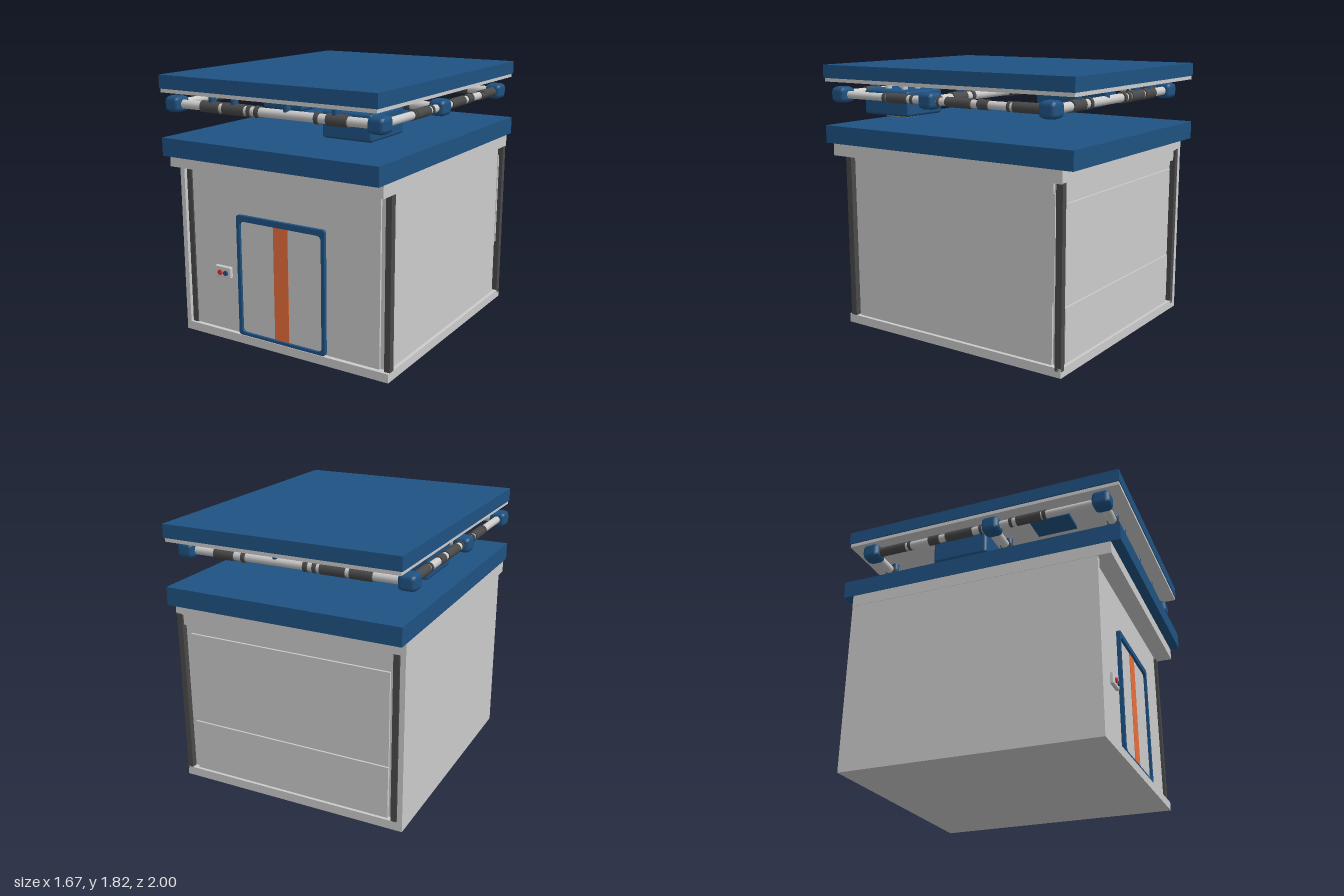
import * as THREE from 'three';
import { RoundedBoxGeometry } from 'three/addons/geometries/RoundedBoxGeometry.js';

const mat = (color) => new THREE.MeshStandardMaterial({ color });

export function createModel() {
  const model = new THREE.Group();
  const grey = mat(0xcccccc), blue = mat(0x1f5282), dark = mat(0x4a4a4a);
  const orange = mat(0xea6f3b), red = mat(0xe03030), olive = mat(0x8c8a62);

  const add = (name, geometry, material, x = 0, y = 0, z = 0, parent = model) => {
    const mesh = new THREE.Mesh(geometry, material);
    mesh.name = name;
    mesh.position.set(x, y, z);
    parent.add(mesh);
    return mesh;
  };
  // Box given by its minimum and maximum on each axis
  const box = (name, material, x0, x1, y0, y1, z0, z1, parent) =>
    add(name, new THREE.BoxGeometry(x1 - x0, y1 - y0, z1 - z0), material,
      (x0 + x1) / 2, (y0 + y1) / 2, (z0 + z1) / 2, parent);
  // Box with chamfered edges, given by centre and size
  const chamferBox = (name, material, x, y, z, w, h, d, r, parent) =>
    add(name, new RoundedBoxGeometry(w, h, d, 1, r), material, x, y, z, parent);
  const rod = (name, material, r, length, axis, x, y, z, parent) => {
    const mesh = add(name, new THREE.CylinderGeometry(r, r, length, 16), material, x, y, z, parent);
    if (axis === 'x') mesh.rotation.z = Math.PI / 2;
    if (axis === 'z') mesh.rotation.x = Math.PI / 2;
    return mesh;
  };
  const roundedRect = (shape, x0, x1, y0, y1, r) => {
    shape.moveTo(x0 + r, y0);
    shape.lineTo(x1 - r, y0).quadraticCurveTo(x1, y0, x1, y0 + r);
    shape.lineTo(x1, y1 - r).quadraticCurveTo(x1, y1, x1 - r, y1);
    shape.lineTo(x0 + r, y1).quadraticCurveTo(x0, y1, x0, y1 - r);
    shape.lineTo(x0, y0 + r).quadraticCurveTo(x0, y0, x0 + r, y0);
    return shape;
  };

  // Cabin: base, core, flush left wall and panels
  box('base', grey, -0.81, 0.82, 0, 0.06, -0.925, 0.835);
  box('core', grey, -0.79, 0.78, 0.05, 1.22, -0.885, 0.79);
  box('leftWall', grey, -0.81, -0.775, 0.05, 1.22, -0.925, 0.835);
  box('frontPanel', grey, -0.73, 0.74, 0.06, 1.2, 0.78, 0.805);
  box('sidePanel', grey, 0.77, 0.795, 0.06, 1.2, -0.845, 0.75);
  box('sidePanelLatch', grey, 0.77, 0.8, 0.46, 1.13, -0.862, -0.845);
  box('backLowerPanel', grey, -0.7, 0.74, 0.06, 0.42, -0.905, -0.87);
  box('backUpperPanel', grey, -0.7, 0.74, 0.425, 1.06, -0.9, -0.87);
  box('backHeader', grey, -0.73, 0.78, 1.12, 1.2, -0.91, -0.87);

  // Corner posts
  for (const [x0, x1] of [[-0.77, -0.73], [0.78, 0.82]]) {
    for (const [z0, z1] of [[0.77, 0.816], [-0.925, -0.88]]) {
      box('cornerPost', dark, x0, x1, 0.04, 1.2, z0, z1);
    }
  }

  // Cabin roof with grey band
  box('roofBand', grey, -0.812, 0.825, 1.195, 1.3, -0.925, 0.925);
  box('cabinRoof', blue, -0.815, 0.83, 1.278, 1.4, -1, 0.99);

  // Door
  const door = new THREE.Group();
  door.name = 'door';
  model.add(door);
  const frameShape = roundedRect(new THREE.Shape(), -0.345, 0.35, 0.06, 0.905, 0.02);
  frameShape.holes.push(roundedRect(new THREE.Path(), -0.32, 0.325, 0.08, 0.865, 0.035));
  add('doorFrame', new THREE.ExtrudeGeometry(frameShape, { depth: 0.03, bevelEnabled: false, curveSegments: 5 }),
    blue, 0, 0, 0.8, door);
  box('doorLeaf', grey, -0.33, 0.335, 0.07, 0.88, 0.79, 0.812, door);
  box('doorStripe', orange, -0.055, 0.06, 0.08, 0.865, 0.79, 0.815, door);

  // Push-button plate
  chamferBox('buttonPlate', grey, -0.477, 0.48, 0.81, 0.136, 0.08, 0.036, 0.008);
  rod('redButton', red, 0.018, 0.015, 'z', -0.496, 0.477, 0.831);
  rod('blueButton', blue, 0.018, 0.015, 'z', -0.449, 0.477, 0.831);

  // Upper canopy
  box('canopyUnderside', grey, -0.8, 0.815, 1.7, 1.73, -0.995, 0.995);
  box('canopy', blue, -0.808, 0.825, 1.725, 1.815, -1, 1);

  // Pipe frame hanging under the canopy
  const frame = new THREE.Group();
  frame.name = 'pipeFrame';
  model.add(frame);
  const pipeY = 1.615, xs = [-0.775, 0.768], zs = [0.873, 0.1, -0.81];
  const crossSleeves = [[-0.55, -0.4], [-0.37, -0.2], [-0.175, -0.15], [-0.115, -0.085],
    [0.33, 0.357], [0.415, 0.56]];
  const longSleeves = [[0.465, 0.49], [0.28, 0.455], [0.23, 0.25], [0.012, 0.03],
    [-0.24, -0.04], [-0.37, -0.29], [-0.53, -0.51], [-0.76, -0.55]];

  for (const z of zs) {
    rod('crossPipe', grey, 0.03, xs[1] - xs[0], 'x', 0, pipeY, z, frame);
    for (const [a, b] of crossSleeves) {
      rod('pipeSleeve', dark, 0.039, b - a, 'x', (a + b) / 2, pipeY, z, frame);
    }
    for (const x of [-0.47, -0.29, 0.117, 0.47]) {
      rod('hanger', blue, 0.025, 0.075, 'y', x, 1.67, z, frame);
    }
  }
  for (const x of xs) {
    rod('longPipe', grey, 0.026, zs[0] - zs[2], 'z', x, pipeY, (zs[0] + zs[2]) / 2, frame);
    for (const [a, b] of longSleeves) {
      rod('pipeSleeve', dark, 0.033, b - a, 'z', x, pipeY, (a + b) / 2, frame);
    }
    for (const z of zs) chamferBox('pipeJoint', blue, x, pipeY, z, 0.122, 0.108, 0.125, 0.032, frame);
  }

  // Ceiling units with rods and lower vents: centre x, z, width, depth, bottom, top
  const units = [
    [0.482, 0.58, 0.355, 0.4, 1.478, 1.65],
    [-0.535, -0.17, 0.355, 0.4, 1.478, 1.65],
    [-0.225, -0.54, 0.19, 0.24, 1.572, 1.67],
  ];
  for (const [x, z, w, d, y0, y1] of units) {
    const unit = new THREE.Group();
    unit.name = 'ceilingUnit';
    model.add(unit);
    chamferBox('unitBody', blue, x, (y0 + y1) / 2, z, w, y1 - y0, d, 0.02, unit);
    box('unitVent', olive, x - w * 0.21, x + w * 0.21, y0 - 0.018, y0 + 0.01, z - d * 0.23, z + d * 0.23, unit);
    for (const sx of [-1, 1]) for (const sz of [-1, 1]) {
      rod('unitRod', grey, d * 0.055, 0.09, 'y', x + sx * w * 0.19, 1.665, z + sz * d * 0.18, unit);
    }
  }
  box('ceilingPlate', blue, -0.64, -0.46, 1.675, 1.695, 0.32, 0.6);
  return model;
}
